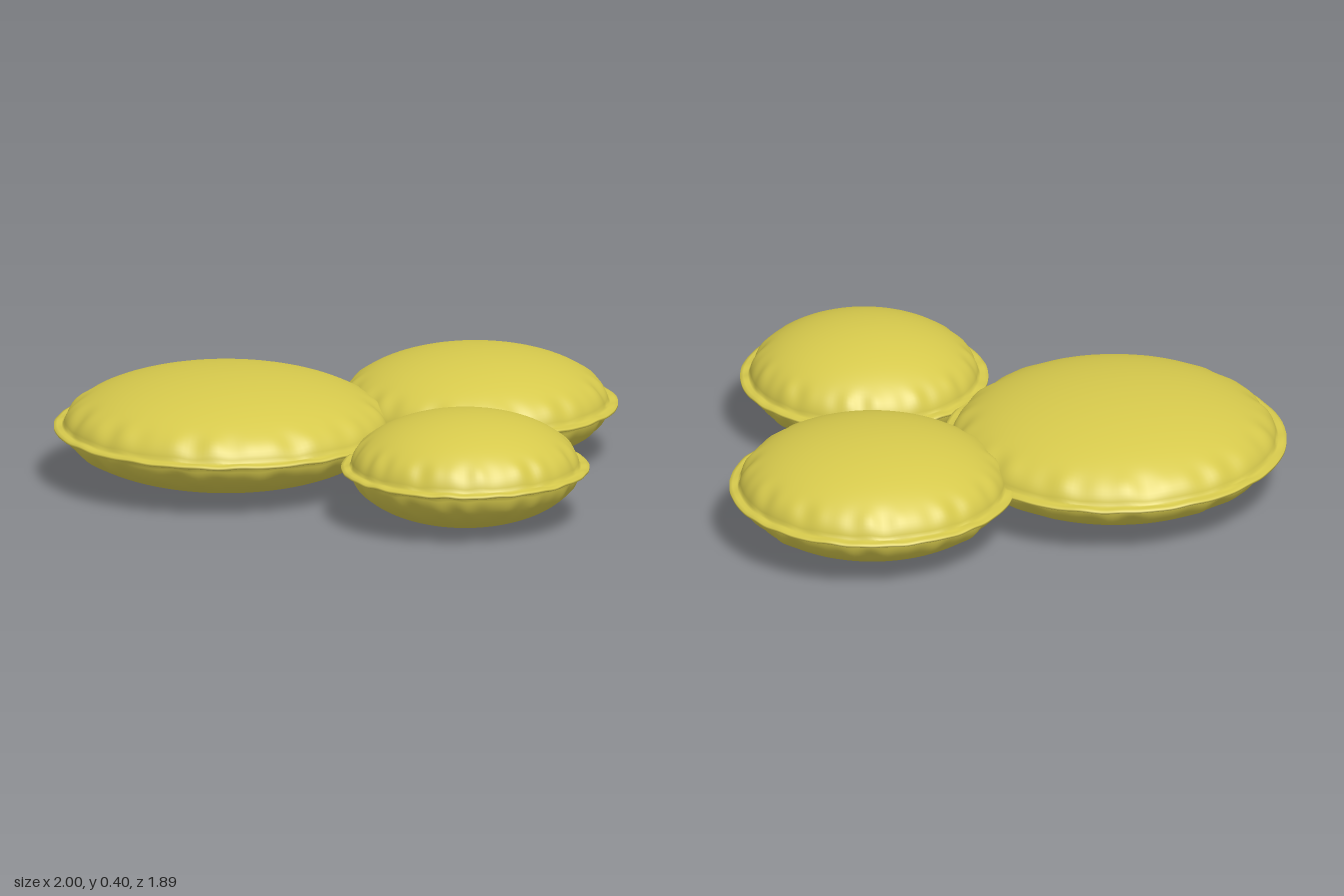
import * as THREE from 'three';
import { mergeVertices } from 'three/addons/utils/BufferGeometryUtils.js';

const HALF = 0.2;      // half thickness, also the height of the seam
const FLANGE = 0.035;  // width of the flat piped edge
const SEGMENTS = 192;

// Half outline from the flange tip to the crown, y measured from the seam
function halfProfile(radius) {
  const body = radius - FLANGE;
  const points = [[radius, 0.004], [radius - 0.012, 0.008], [body + 0.006, 0.007]];
  for (let i = 1; i <= 26; i++) {
    const a = (i / 26) * Math.PI / 2;
    points.push([body * Math.cos(a), HALF * Math.sin(a)]);
  }
  points[points.length - 1][0] = 0;
  return points;
}

// Uneven gathers around the rim, about -1 to 1
function gathers(angle, seed) {
  return 0.5 * Math.sin(18 * angle + seed + 0.8 * Math.sin(3 * angle + seed))
    + 0.3 * Math.sin(29 * angle + 2 * seed)
    + 0.2 * Math.sin(11 * angle - 3 * seed);
}

function cushionGeometry(radius, seed) {
  const top = halfProfile(radius);
  const bottom = top.map(([r, y]) => [r, -y]).reverse();
  const outline = [...bottom, ...top].map(([r, y]) => new THREE.Vector2(r, y));
  const geometry = new THREE.LatheGeometry(outline, SEGMENTS);
  const pos = geometry.attributes.position;

  // Pucker the fabric near the seam and ripple the flange slightly
  for (let i = 0; i < pos.count; i++) {
    const x = pos.getX(i), y = pos.getY(i), z = pos.getZ(i);
    const r = Math.hypot(x, z);
    const angle = Math.atan2(x, z);
    const side = Math.sign(y);
    const fold = gathers(angle, seed + (side > 0 ? 0 : 1.7));
    const onBody = r < radius - FLANGE;
    const inset = (radius - FLANGE - r) / radius;
    const pucker = onBody ? Math.exp(-(((inset - 0.05) / 0.065) ** 2)) : 0;
    const scale = 1 + 0.007 * fold * pucker;
    const ripple = onBody ? 0 : 0.003 * gathers(angle, seed + 4);
    pos.setXYZ(i, x * scale, y + side * 0.007 * fold * pucker + ripple, z * scale);
  }

  // Weld the lathe joint so that shading is continuous
  geometry.deleteAttribute('uv');
  geometry.deleteAttribute('normal');
  const welded = mergeVertices(geometry, 1e-5);
  welded.computeVertexNormals();
  return welded;
}

export function createModel() {
  const group = new THREE.Group();
  group.name = 'roundCushions';
  const fabric = new THREE.MeshStandardMaterial({ color: 0xd6c94c });

  const cushions = [
    { name: 'largeCushion', x: -0.377, z: 0, radius: 0.623, seed: 0.4 },
    { name: 'mediumCushion', x: 0.481, z: -0.43, radius: 0.517, seed: 2.1 },
    { name: 'smallCushion', x: 0.55, z: 0.495, radius: 0.449, seed: 3.7 },
  ];
  for (const { name, x, z, radius, seed } of cushions) {
    const mesh = new THREE.Mesh(cushionGeometry(radius, seed), fabric);
    mesh.name = name;
    mesh.position.set(x, HALF, z);
    group.add(mesh);
  }
  return group;
}
